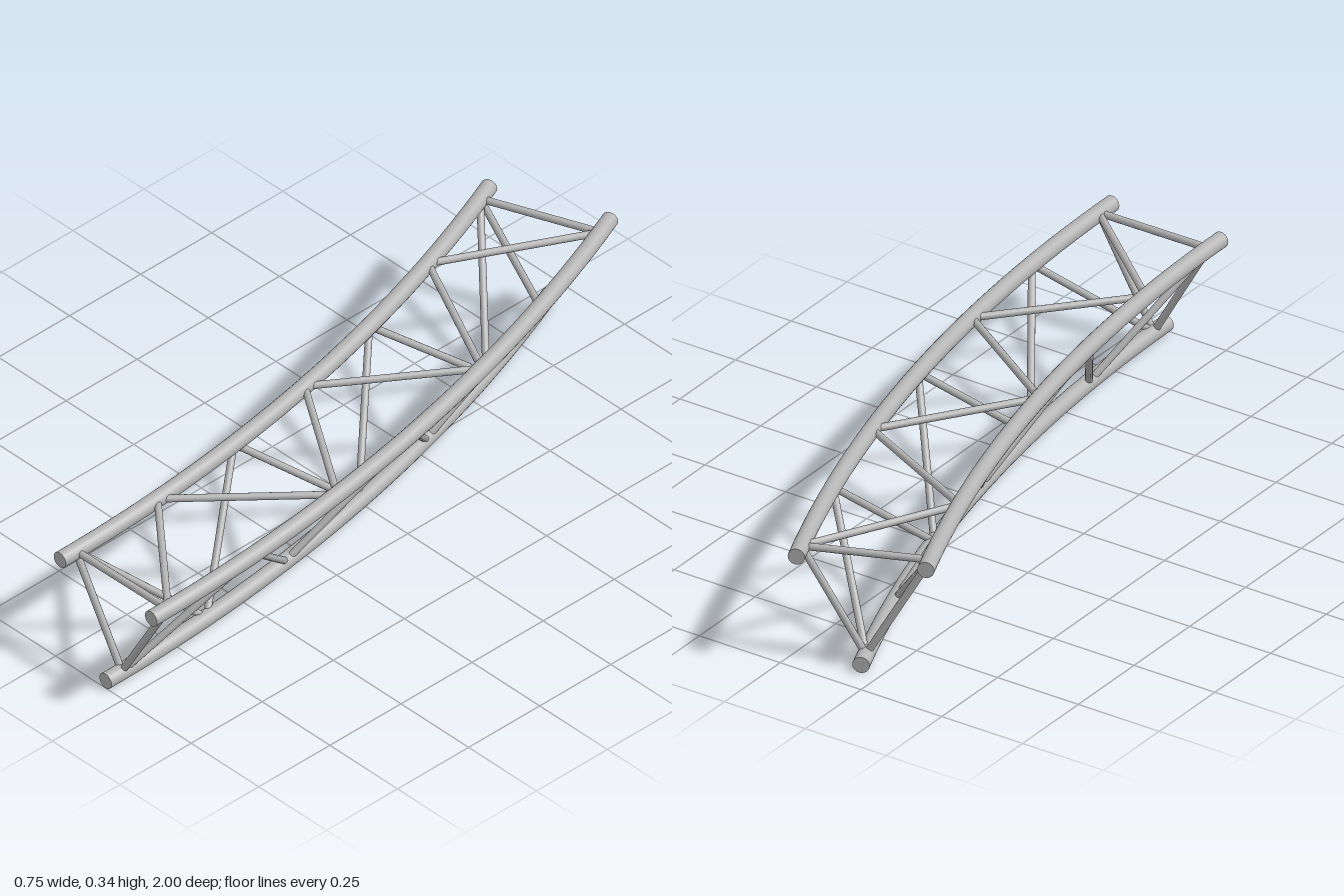
import * as THREE from 'three';

const RAD = Math.PI / 180;
const SWEEP = 22.5 * RAD;      // total bend of the truss
const CENTER_X = -4.852;       // bend centre, level with the front end
const CHORD_R = 0.0225;
const BRACE_R = 0.01;
const PANELS = 6;
const INSET = 0.66 * RAD;      // angle from each end to the first node

// The three main pipes: bend radius and height
const CHORDS = {
  inner: { radius: 4.867, y: 0.318 },
  outer: { radius: 5.204, y: 0.318 },
  bottom: { radius: 5.0355, y: 0.0225 },
};

function pointOn(chord, angle) {
  return new THREE.Vector3(
    CENTER_X + chord.radius * Math.cos(angle), chord.y, 1 - chord.radius * Math.sin(angle));
}

class ChordCurve extends THREE.Curve {
  constructor(chord) {
    super();
    this.chord = chord;
  }
  getPoint(t, target = new THREE.Vector3()) {
    return target.copy(pointOn(this.chord, t * SWEEP));
  }
}

export function createModel() {
  const group = new THREE.Group();
  group.name = 'curvedTruss';
  const metal = new THREE.MeshStandardMaterial({ color: 0xb4b4b4 });
  metal.name = 'grey metal';

  const add = (name, geometry) => {
    const mesh = new THREE.Mesh(geometry, metal);
    mesh.name = name;
    group.add(mesh);
    return mesh;
  };

  // Curved main pipes with flat end caps
  for (const [name, chord] of Object.entries(CHORDS)) {
    add(name + 'Chord', new THREE.TubeGeometry(new ChordCurve(chord), 32, CHORD_R, 20));
    for (const [end, angle, turn] of [['Front', 0, 0], ['Back', SWEEP, Math.PI + SWEEP]]) {
      const cap = add(name + end + 'Cap', new THREE.CircleGeometry(CHORD_R, 20));
      cap.position.copy(pointOn(chord, angle));
      cap.rotation.y = turn;
    }
  }

  // Straight brace between a node on one pipe and a node on another
  const nodeAngle = (k) => INSET + (k / PANELS) * (SWEEP - 2 * INSET);
  const brace = (name, chordA, nodeA, chordB, nodeB) => {
    const a = pointOn(CHORDS[chordA], nodeAngle(nodeA));
    const b = pointOn(CHORDS[chordB], nodeAngle(nodeB));
    const dir = b.clone().sub(a);
    const mesh = add(name, new THREE.CylinderGeometry(BRACE_R, BRACE_R, dir.length(), 12, 1, true));
    mesh.position.copy(a).add(b).multiplyScalar(0.5);
    mesh.quaternion.setFromUnitVectors(new THREE.Vector3(0, 1, 0), dir.normalize());
  };

  // Each face: a zigzag starting on the first pipe, closed by a bar at both ends
  for (const [face, first, second] of [
    ['top', 'outer', 'inner'],
    ['innerSide', 'inner', 'bottom'],
    ['outerSide', 'bottom', 'outer'],
  ]) {
    for (let k = 0; k < PANELS; k++) {
      const [from, to] = k % 2 === 0 ? [first, second] : [second, first];
      brace(face + 'Diagonal' + (k + 1), from, k, to, k + 1);
    }
    brace(face + 'FrontBar', first, 0, second, 0);
    brace(face + 'BackBar', first, PANELS, second, PANELS);
  }

  return group;
}
